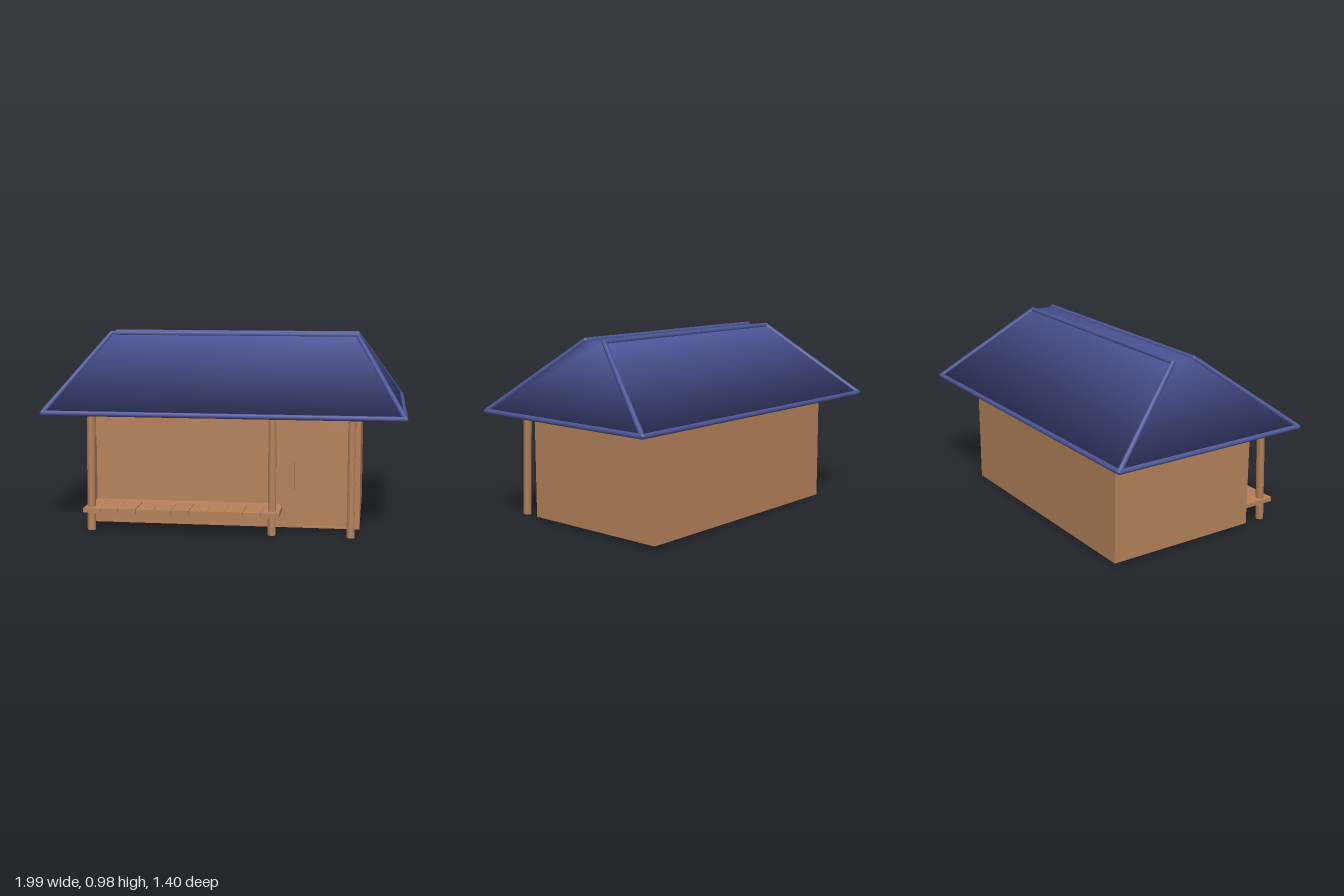
import * as THREE from 'three';

const wood = new THREE.MeshStandardMaterial({ color: 0xb5825a });
const blue = new THREE.MeshStandardMaterial({ color: 0x4d5596, side: THREE.DoubleSide });
const V = (x, y, z) => new THREE.Vector3(x, y, z);

function add(parent, name, geometry, material) {
  const mesh = new THREE.Mesh(geometry, material);
  mesh.name = name;
  parent.add(mesh);
  return mesh;
}

// Box given by its minimum and maximum corners
function box(parent, name, a, b, material) {
  const mesh = add(parent, name, new THREE.BoxGeometry(b[0] - a[0], b[1] - a[1], b[2] - a[2]), material);
  mesh.position.set((a[0] + b[0]) / 2, (a[1] + b[1]) / 2, (a[2] + b[2]) / 2);
  return mesh;
}

// Round or faceted bar between two points
function bar(parent, name, a, b, radius, sides, material) {
  const mesh = add(parent, name, new THREE.CylinderGeometry(radius, radius, a.distanceTo(b), sides), material);
  mesh.position.copy(a).lerp(b, 0.5);
  mesh.quaternion.setFromUnitVectors(V(0, 1, 0), b.clone().sub(a).normalize());
  return mesh;
}

function rect(path, x0, y0, x1, y1) {
  path.moveTo(x0, y0);
  path.lineTo(x1, y0);
  path.lineTo(x1, y1);
  path.lineTo(x0, y1);
  path.closePath();
  return path;
}

// Corners of a level rectangle, counter-clockwise from above
const ring = (hx, y, hz) => [V(-hx, y, hz), V(hx, y, hz), V(hx, y, -hz), V(-hx, y, -hz)];

export function createModel() {
  const model = new THREE.Group();
  model.name = 'house';
  const house = new THREE.Group();
  house.name = 'turnedHouse';
  house.rotation.y = 0.165;
  model.add(house);

  // Walls: solid core with a front layer pierced by the window bay and the doorway
  const bottom = 0.015, top = 0.595, faceZ = 0.42, recess = 0.08;
  box(house, 'wallCore', [-0.69, bottom, -0.42], [0.69, top, faceZ - recess], wood);
  const facade = rect(new THREE.Shape(), -0.69, bottom, 0.69, top);
  facade.holes.push(rect(new THREE.Path(), -0.68, 0.12, 0.29, 0.465));
  facade.holes.push(rect(new THREE.Path(), 0.362, 0.022, 0.625, 0.475));
  const facadeGeo = new THREE.ExtrudeGeometry(facade, { depth: recess, bevelEnabled: false });
  add(house, 'frontWall', facadeGeo, wood).position.z = faceZ - recess;
  box(house, 'door', [0.362, 0.022, faceZ - recess], [0.625, 0.475, faceZ - 0.015], wood);

  // Leaning porch posts
  for (const x of [-0.658, 0.259, 0.649]) {
    bar(house, 'porchPost', V(x, 0.003, 0.544), V(x, 0.6, 0.52), 0.022, 6, wood);
  }

  // Planked bench along the window bay
  const planks = 11, pitch = 0.99 / planks;
  const bench = new THREE.Group();
  bench.name = 'bench';
  house.add(bench);
  for (let i = 0; i < planks; i++) {
    const x = -0.69 + i * pitch;
    const lift = (i % 3) * 0.001;
    box(bench, 'benchPlank', [x + 0.001, 0.1, 0.42], [x + pitch - 0.001, 0.123 + lift, 0.594], wood);
  }

  // Hipped roof body with a narrow flat crown and a level soffit
  const eave = ring(0.905, 0.595, 0.545);
  const crown = ring(0.66, 0.97, 0.065);
  const roofGeo = new THREE.BufferGeometry().setFromPoints([...eave, ...crown]);
  const index = [4, 5, 6, 4, 6, 7, 0, 2, 1, 0, 3, 2];
  for (let i = 0; i < 4; i++) {
    const j = (i + 1) % 4;
    index.push(i, j, j + 4, i, j + 4, i + 4);
  }
  roofGeo.setIndex(index);
  roofGeo.computeVertexNormals();
  add(house, 'roof', roofGeo, blue);

  // Trim bars on the eaves, hips and the two crown edges
  const r = 0.013;
  for (let i = 0; i < 4; i++) {
    bar(house, 'eaveTrim', eave[i], eave[(i + 1) % 4], r, 8, blue);
    bar(house, 'hipTrim', eave[i], crown[i], r, 8, blue);
    for (const p of [eave[i], crown[i]]) {
      add(house, 'trimJoint', new THREE.SphereGeometry(r, 8, 6), blue).position.copy(p);
    }
  }
  bar(house, 'crownTrim', crown[0], crown[1], r, 8, blue);
  bar(house, 'crownTrim', crown[2], crown[3], r, 8, blue);

  return model;
}
